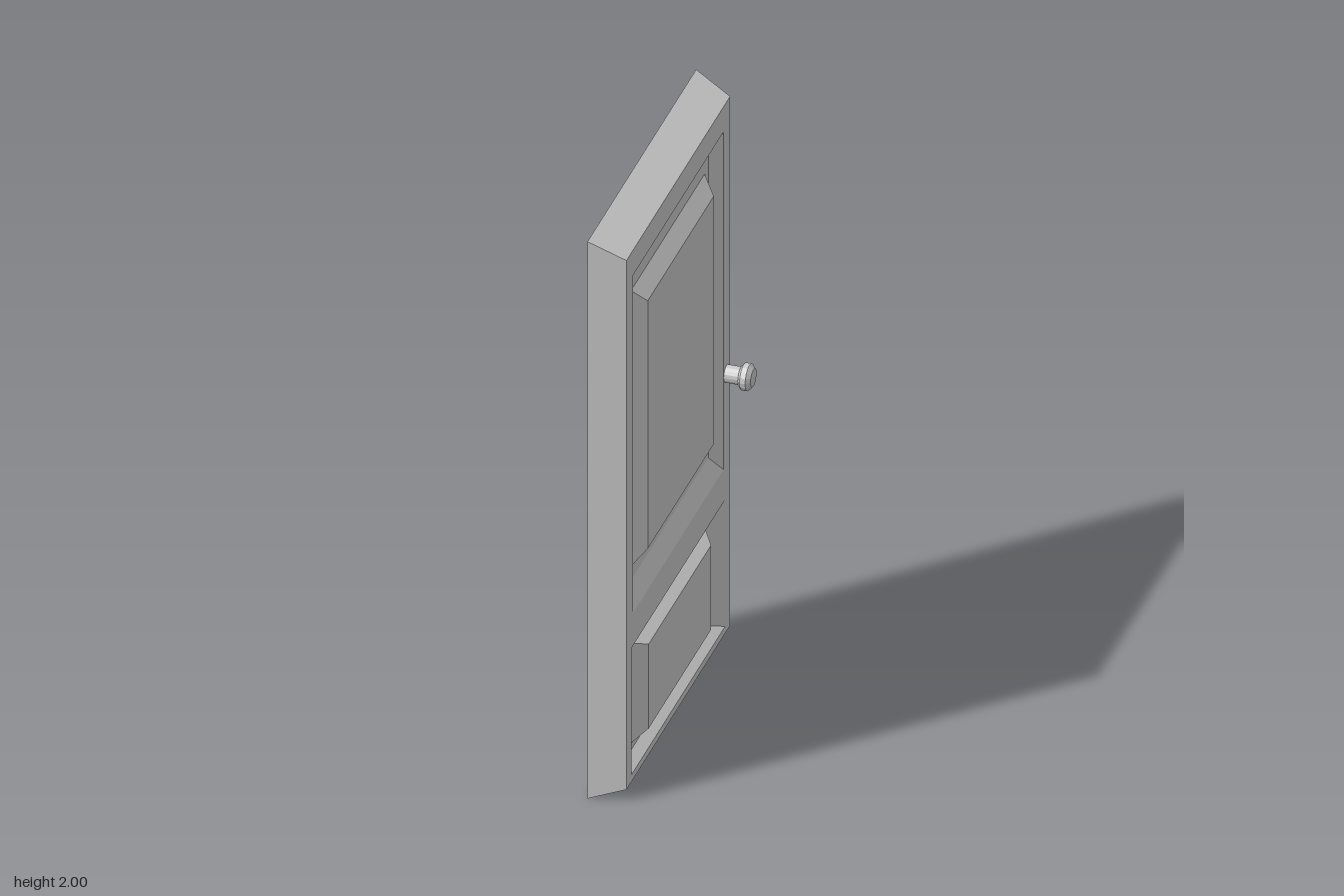
import * as THREE from 'three';

const FRONT = 0.014, FLOOR = -0.02, BACK = -0.104;
const sheet = new THREE.MeshStandardMaterial({ color: 0xcccccc, flatShading: true, side: THREE.DoubleSide });

// Rectangle facing +x: half width in z, bottom, top, and its x position
const rect = (w, y0, y1, x) => [[x, y0, w], [x, y0, -w], [x, y1, -w], [x, y1, w]];

function quads(list) {
  const pos = [];
  for (const [a, b, c, d] of list) pos.push(...a, ...b, ...c, ...a, ...c, ...d);
  const g = new THREE.BufferGeometry();
  g.setAttribute('position', new THREE.Float32BufferAttribute(pos, 3));
  g.computeVertexNormals();
  return g;
}

// Sloping bands between successive rectangles, optionally closed by the last one
function bands(rings, capped) {
  const list = [];
  for (let r = 0; r + 1 < rings.length; r++) {
    const a = rings[r], b = rings[r + 1];
    for (let i = 0; i < 4; i++) {
      const j = (i + 1) % 4;
      list.push([a[i], a[j], b[j], b[i]]);
    }
  }
  if (capped) list.push(rings[rings.length - 1]);
  return quads(list);
}

export function createModel() {
  const group = new THREE.Group();
  group.name = 'door';
  const add = (geometry, name, material = sheet) => {
    const mesh = new THREE.Mesh(geometry, material);
    mesh.name = name;
    group.add(mesh);
    return mesh;
  };

  // Each panel: sunken moulding, groove floor, then a raised bevelled field
  const panels = {
    upperPanel: [
      rect(0.447, 0.637, 1.85, FRONT), rect(0.4, 0.7, 1.79, FLOOR),
      rect(0.364, 0.75, 1.74, FLOOR), rect(0.326, 0.8, 1.69, 0.022),
    ],
    lowerPanel: [
      rect(0.462, 0.065, 0.52, FRONT), rect(0.412, 0.09, 0.497, FLOOR),
      rect(0.363, 0.115, 0.474, FLOOR), rect(0.308, 0.143, 0.446, 0.019),
    ],
  };

  // Flat front with an opening for each panel
  const outer = rect(0.512, 0.04, 1.94, FRONT);
  const to2D = (ring) => ring.map(([, y, z]) => new THREE.Vector2(-z, y));
  const face = new THREE.Shape(to2D(outer));
  for (const [name, rings] of Object.entries(panels)) {
    face.holes.push(new THREE.Path(to2D(rings[0])));
    add(bands(rings, true), name);
  }
  add(new THREE.ShapeGeometry(face).rotateY(Math.PI / 2).translate(FRONT, 0, 0), 'frontFrame');

  // Tapered edges, open at the back
  add(bands([rect(0.537, 0, 2, BACK), outer]), 'sideEdges');

  // Thin divider behind the middle rail
  add(quads([[[BACK, 0.527, 0.537], [FRONT, 0.54, 0.512], [FRONT, 0.54, -0.512], [BACK, 0.527, -0.537]]]), 'innerDivider');

  // Turned knob
  const profile = [[0.029, 0], [0.029, 0.046], [0.034, 0.047], [0.044, 0.056], [0.044, 0.074], [0.03, 0.087], [0, 0.088]];
  const knob = new THREE.LatheGeometry(profile.map(([r, h]) => new THREE.Vector2(r, h)), 16);
  knob.rotateZ(-Math.PI / 2).translate(FRONT, 0.965, -0.477);
  add(knob, 'knob');

  return group;
}
